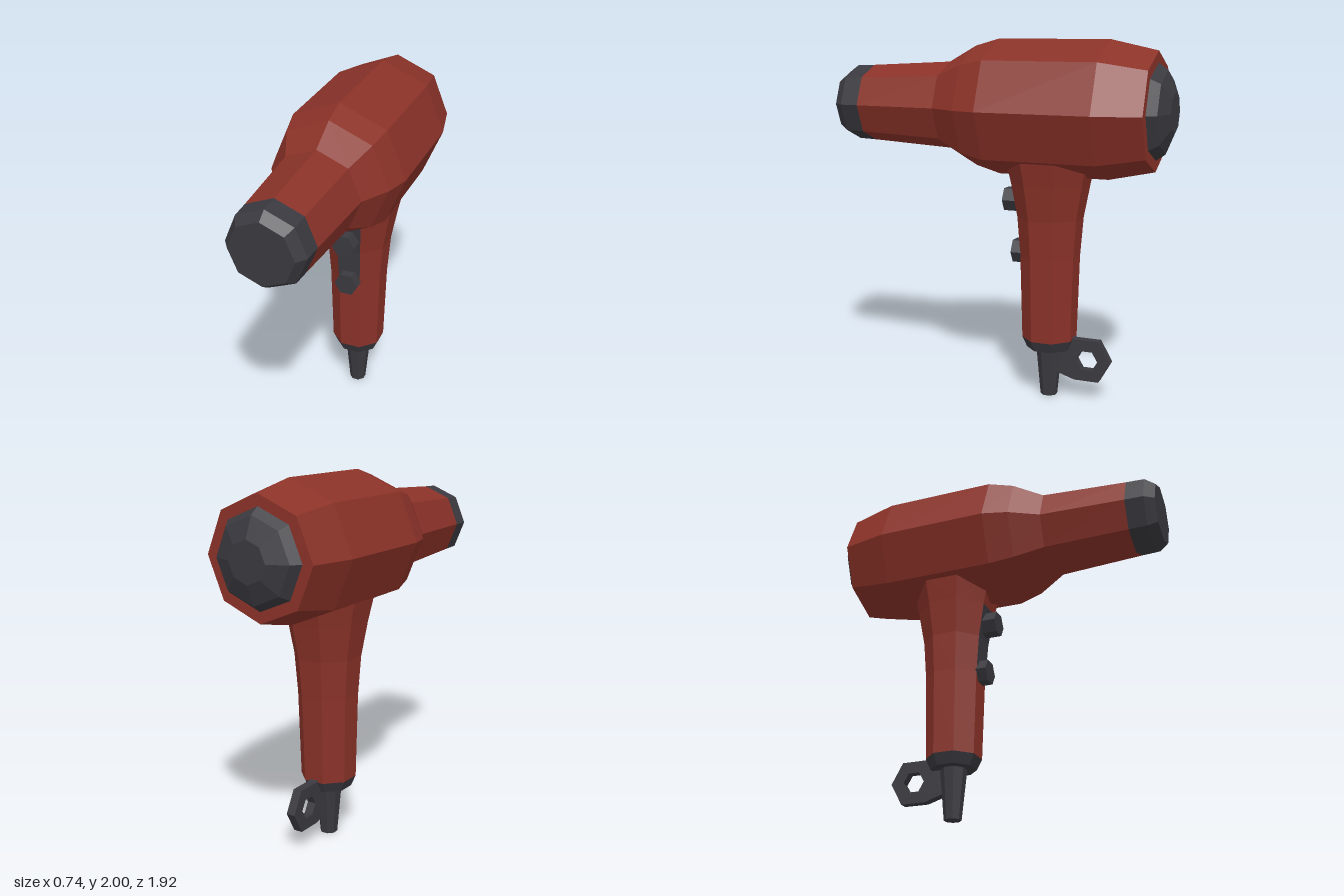
import * as THREE from 'three';

export function createModel() {
  const red = new THREE.MeshStandardMaterial({ color: 0x8a3228 });
  red.name = 'red plastic';
  const dark = new THREE.MeshStandardMaterial({ color: 0x3a393f });
  dark.name = 'dark plastic';

  const model = new THREE.Group();
  model.name = 'hairDryer';
  const AXIS_Y = 1.628, HANDLE_Z = -0.283;

  const flat = (geo) => {
    const g = geo.index ? geo.toNonIndexed() : geo;
    g.computeVertexNormals();
    return g;
  };
  const add = (name, geo, mat, x, y, z) => {
    const mesh = new THREE.Mesh(flat(geo), mat);
    mesh.name = name;
    mesh.position.set(x, y, z);
    model.add(mesh);
    return mesh;
  };
  // Eight-sided lathe from [radius, height] pairs, listed bottom to top
  const octagon = (pts, phase = 0, scale = 1) => new THREE.LatheGeometry(
    pts.map(([r, h]) => new THREE.Vector2(r * scale, h)), 8, phase);

  // Barrel: three sections along z, corners at top and sides
  const barrel = (name, pts, mat) =>
    add(name, octagon(pts).rotateX(Math.PI / 2), mat, 0, AXIS_Y, 0);
  barrel('rearVent', [[0, -0.96], [0.11, -0.96], [0.22, -0.915], [0.256, -0.864]], dark);
  barrel('barrel', [[0.25, -0.864], [0.317, -0.864], [0.372, -0.61], [0.372, 0.02],
    [0.332, 0.16], [0.242, 0.32], [0.216, 0.8]], red);
  barrel('nozzleTip', [[0.216, 0.8], [0.212, 0.905], [0.173, 0.96], [0, 0.96]], dark);

  // Handle: flats face front and sides, so radii are given across flats
  const PHASE = Math.PI / 8, ACROSS = 1 / Math.cos(PHASE);
  const upright = (name, pts, mat) =>
    add(name, octagon(pts, PHASE, ACROSS), mat, 0, 0, HANDLE_Z);
  const grip = [[0.142, 0.34], [0.154, 0.81], [0.17, 1.03], [0.203, 1.22], [0.233, 1.36], [0.25, 1.45]];
  const handle = upright('handle', grip, [red, dark]);
  // The front facet carries the dark switch panel on its middle two bands
  const bands = grip.length - 1, panelStart = (7 * bands + 1) * 6, total = 8 * bands * 6;
  handle.geometry.clearGroups();
  handle.geometry.addGroup(0, panelStart, 0);
  handle.geometry.addGroup(panelStart, 12, 1);
  handle.geometry.addGroup(panelStart + 12, total - panelStart - 12, 0);

  upright('handleEndCap', [[0, 0.28], [0.117, 0.28], [0.142, 0.34]], dark);
  upright('cableSleeve', [[0, 0], [0.044, 0], [0.069, 0.29]], dark);

  // Switch buttons: hexagonal studs on the panel
  const button = (name, y, front, back) => add(name,
    new THREE.CylinderGeometry(0.071, 0.071, front - back, 6).rotateY(Math.PI / 6 + Math.PI / 3)
      .rotateX(Math.PI / 2), dark, 0, y, (front + back) / 2);
  // Hexagon corners point to the sides
  button('upperButton', 1.117, -0.02, -0.13);
  button('lowerButton', 0.826, -0.072, -0.15);

  // Hanging loop behind the handle, with a hexagonal hole
  const points = (list) => list.map(([x, y]) => new THREE.Vector2(x, y));
  const loop = new THREE.Shape(points([[0.33, 0.145], [0.44, 0.11], [0.58, 0.11], [0.646, 0.228],
    [0.58, 0.346], [0.44, 0.346], [0.41, 0.358], [0.33, 0.33]]));
  const hole = [];
  for (let i = 0; i < 6; i++) {
    const a = -i * Math.PI / 3;
    hole.push([0.511 + 0.062 * Math.cos(a), 0.228 + 0.062 * Math.sin(a)]);
  }
  loop.holes.push(new THREE.Path(points(hole)));
  add('hangingLoop', new THREE.ExtrudeGeometry(loop, { depth: 0.05, bevelEnabled: false })
    .translate(0, 0, -0.025).rotateY(Math.PI / 2), dark, 0, 0, 0);

  return model;
}
